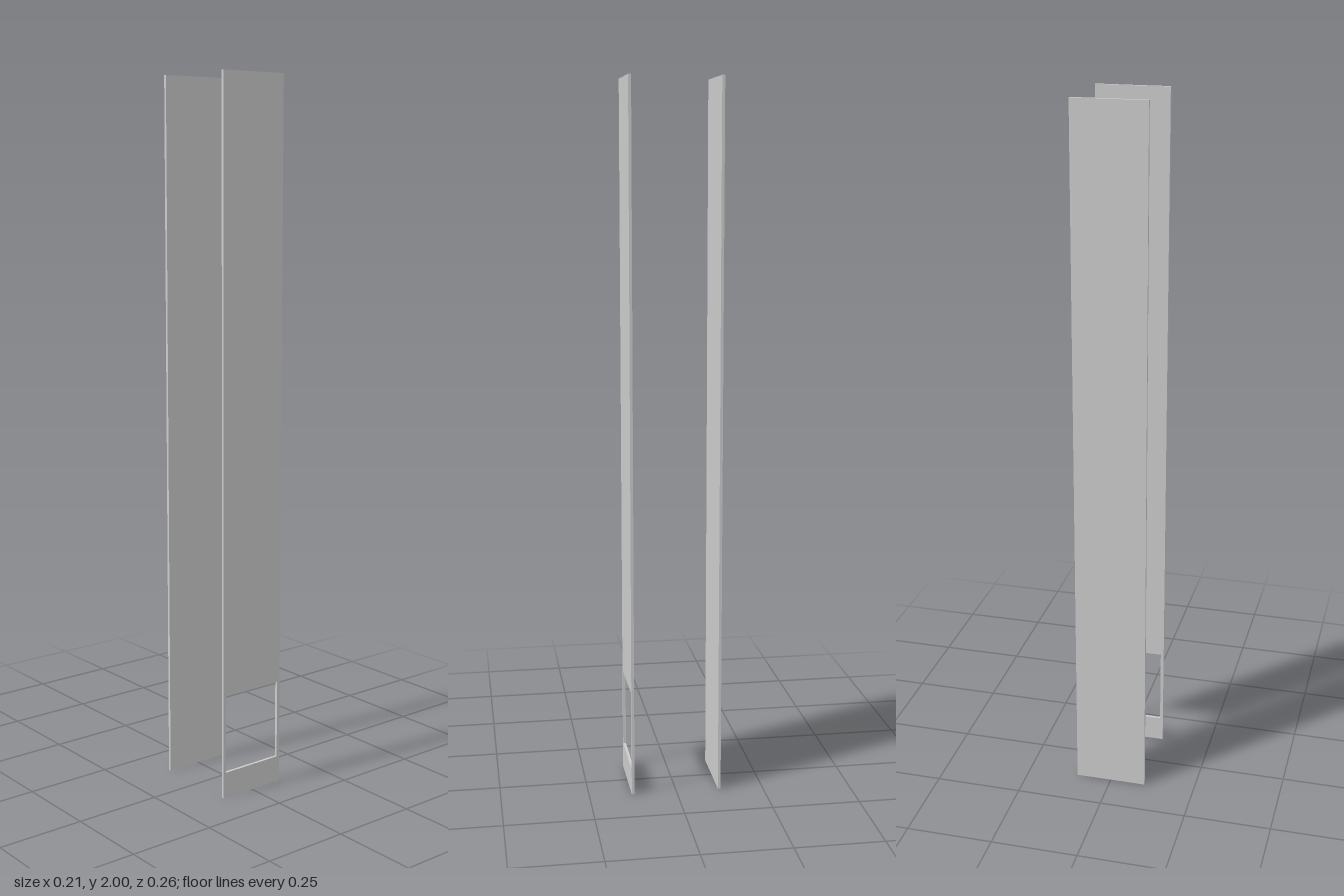
import * as THREE from 'three';

const HALF_W = 0.103, HEIGHT = 2, THICK = 0.008, OUTER_Z = 0.129;

// Rectangle outline, counter-clockwise from the lower left corner
function rectPoints(halfW, y0, y1) {
  return [[-halfW, y0], [halfW, y0], [halfW, y1], [-halfW, y1]].map(([x, y]) => new THREE.Vector2(x, y));
}

export function createModel() {
  const group = new THREE.Group();
  group.name = 'panelPair';
  const material = new THREE.MeshStandardMaterial({ color: 0xcccccc });

  // Front panel with a rectangular opening near the bottom
  const shape = new THREE.Shape(rectPoints(HALF_W, 0, HEIGHT));
  shape.holes.push(new THREE.Path(rectPoints(0.094, 0.075, 0.301).reverse()));
  const front = new THREE.Mesh(
    new THREE.ExtrudeGeometry(shape, { depth: THICK, bevelEnabled: false }), material);
  front.name = 'frontPanel';
  front.position.z = OUTER_Z - THICK;
  group.add(front);

  // Solid back panel
  const back = new THREE.Mesh(new THREE.BoxGeometry(HALF_W * 2, HEIGHT, THICK), material);
  back.name = 'backPanel';
  back.position.set(0, HEIGHT / 2, -OUTER_Z + THICK / 2);
  group.add(back);

  return group;
}
